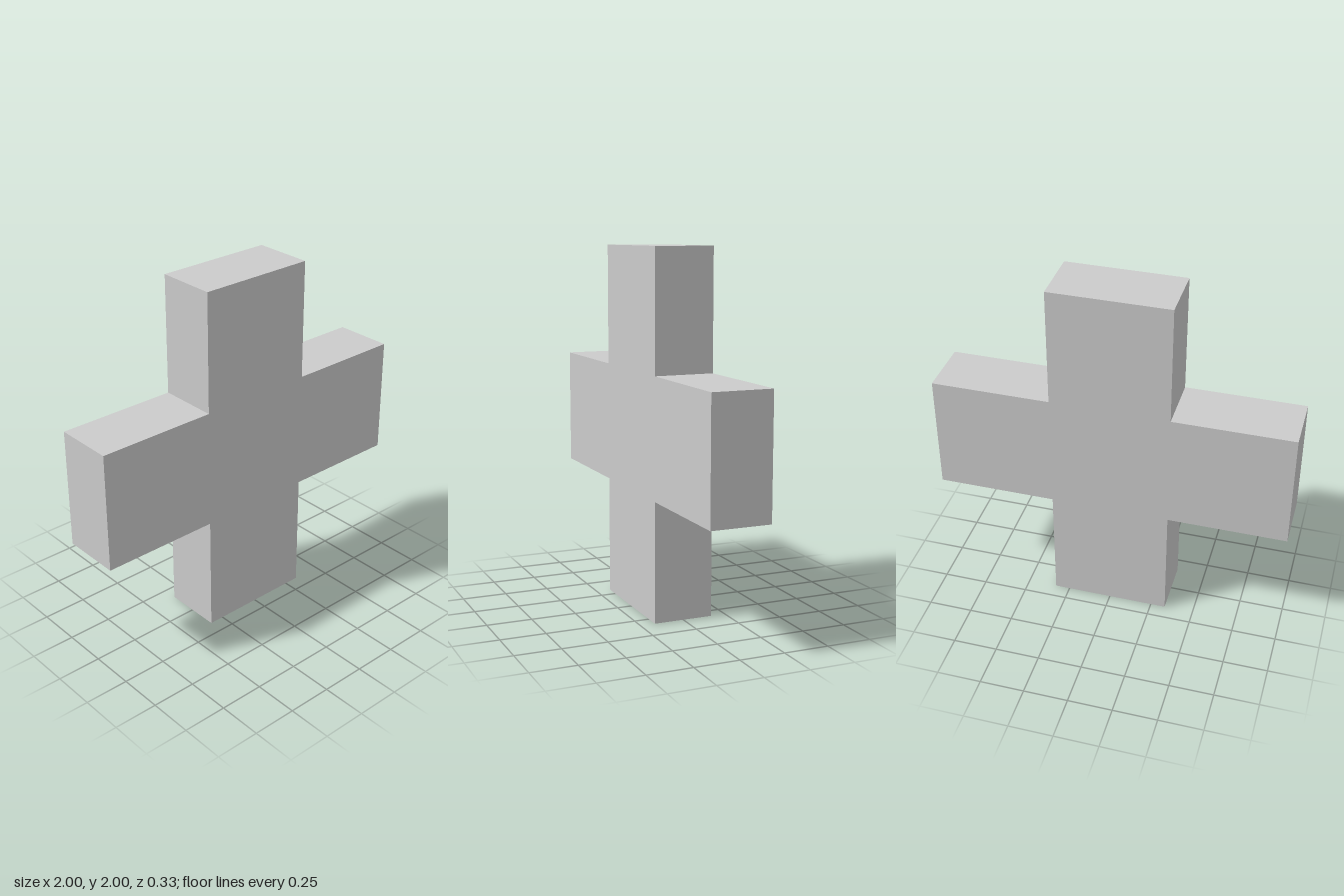
import * as THREE from 'three';

export function createModel() {
  const group = new THREE.Group();
  const outer = 1, inner = 1 / 3, depth = 1 / 3;

  // Plus-shaped outline: one arm's corners, turned through four quarters
  const points = [];
  for (let i = 0; i < 4; i++) {
    for (const [x, y] of [[outer, -inner], [outer, inner], [inner, inner]]) {
      points.push(new THREE.Vector2(x, y).rotateAround(new THREE.Vector2(), i * Math.PI / 2));
    }
  }

  // Solid cross slab, centred in depth and standing on the ground
  const geometry = new THREE.ExtrudeGeometry(new THREE.Shape(points), { depth, bevelEnabled: false });
  geometry.translate(0, outer, -depth / 2);

  const cross = new THREE.Mesh(geometry, new THREE.MeshStandardMaterial({ color: 0xcccccc }));
  cross.name = 'cross';
  group.add(cross);
  return group;
}
